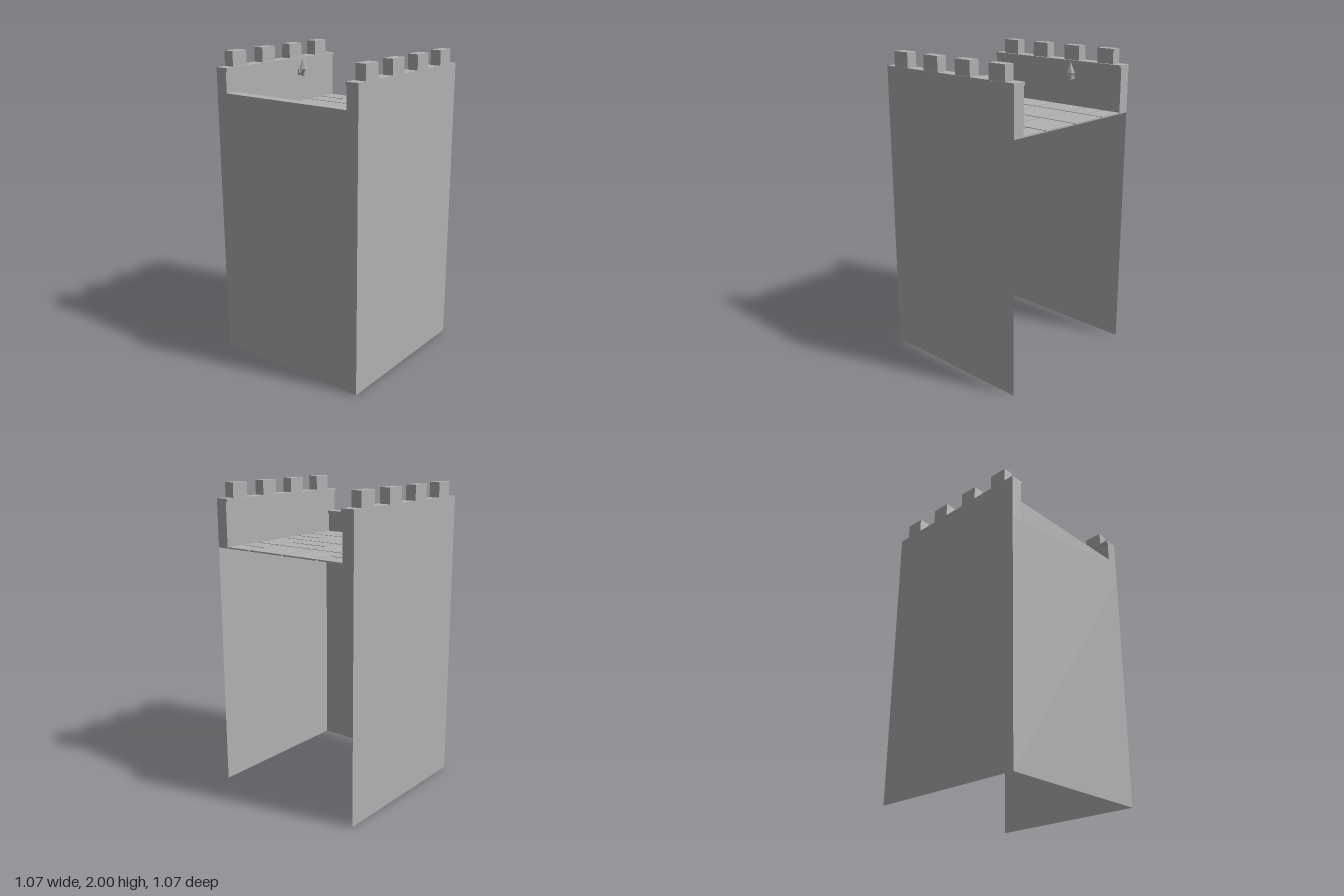
import * as THREE from 'three';

export function createModel() {
  const model = new THREE.Group();
  model.name = 'castleTower';

  const stone = new THREE.MeshStandardMaterial({ color: 0xb2b2b2, side: THREE.DoubleSide, flatShading: true });
  stone.name = 'stone grey';

  const HALF = 0.537;    // half width of the tower
  const FLOOR = 1.6;     // height of the roof floor
  const SIDE_TOP = 1.905, FRONT_TOP = 1.75, LIP = 0.02;

  function add(parent, name, geometry) {
    const mesh = new THREE.Mesh(geometry, stone);
    mesh.name = name;
    parent.add(mesh);
    return mesh;
  }

  // Box given by its limits on each axis
  function block(parent, name, x0, x1, y0, y1, z0, z1) {
    const mesh = add(parent, name, new THREE.BoxGeometry(x1 - x0, y1 - y0, z1 - z0));
    mesh.position.set((x0 + x1) / 2, (y0 + y1) / 2, (z0 + z1) / 2);
    return mesh;
  }

  // Thin tower walls, open at the back and bottom
  const wall = (name, x, z, turn) => {
    const mesh = add(model, name, new THREE.PlaneGeometry(HALF * 2, FLOOR));
    mesh.position.set(x, FLOOR / 2, z);
    mesh.rotation.y = turn;
  };
  wall('frontWall', 0, HALF, 0);
  wall('leftWall', HALF, 0, Math.PI / 2);
  wall('rightWall', -HALF, 0, -Math.PI / 2);

  // Roof floor
  const floor = add(model, 'roofFloor', new THREE.PlaneGeometry(HALF * 2, HALF * 2));
  floor.rotation.x = -Math.PI / 2;
  floor.position.y = FLOOR - 0.004;

  // Paving: full slabs in a 4 x 4 grid, some cut in two along x or z
  const paving = new THREE.Group();
  paving.name = 'paving';
  model.add(paving);
  const GAP = 0.013;
  const columns = [[-0.46, -0.277], [-0.265, -0.007], [0.005, 0.263], [0.275, 0.458]];
  const rows = [[-0.535, -0.277], [-0.265, -0.007], [0.005, 0.263], [0.275, 0.468]];
  const cuts = ['z--z', '--z-', '---z', 'z-xx'];
  const halves = ([a, b], size) => [[a, a + size], [a + size + GAP, b]];
  rows.forEach((row, r) => columns.forEach((col, c) => {
    const cut = cuts[r][c];
    const xs = cut === 'x' ? halves(col, 0.122) : [col];
    const zs = cut === 'z' ? halves(row, 0.122) : [row];
    for (const [x0, x1] of xs) {
      for (const [z0, z1] of zs) block(paving, 'slab', x0, x1, FLOOR - 0.004, FLOOR + 0.005, z0, z1);
    }
  }));

  // Front parapet with a lip along its inner top edge
  block(model, 'frontParapet', -0.458, 0.458, FLOOR - 0.004, FRONT_TOP - LIP, 0.47, HALF);
  block(model, 'frontCoping', -0.458, 0.458, FRONT_TOP - LIP, FRONT_TOP, 0.46, HALF);

  // Side parapets, copings and four merlons each
  for (const [side, s] of [['left', 1], ['right', -1]]) {
    const group = new THREE.Group();
    group.name = side + 'Battlement';
    model.add(group);
    const sideBlock = (name, inner, outer, y0, y1, z0, z1) =>
      block(group, name, Math.min(s * inner, s * outer), Math.max(s * inner, s * outer), y0, y1, z0, z1);
    sideBlock('parapet', 0.458, HALF, FLOOR - 0.004, SIDE_TOP - LIP, -HALF, HALF);
    sideBlock('coping', 0.449, HALF, SIDE_TOP - LIP, SIDE_TOP, -HALF, HALF);
    for (let i = 0; i < 4; i++) {
      const z = -0.405 + i * 0.27;
      sideBlock('merlon', 0.465, 0.534, SIDE_TOP, 2, z - 0.061, z + 0.061);
    }
  }

  // Wall torch on the right parapet
  const torch = new THREE.Group();
  torch.name = 'torch';
  torch.position.set(-0.422, 0, -0.162);
  model.add(torch);
  block(torch, 'bracketPlate', -0.038, -0.03, 1.785, 1.83, -0.012, 0.012);
  block(torch, 'bracketArm', -0.036, 0.01, 1.785, 1.803, -0.008, 0.008);
  add(torch, 'holder', new THREE.CylinderGeometry(0.02, 0.011, 0.035, 6)).position.y = 1.799;
  const flame = [[0, 1.81], [0.026, 1.826], [0.015, 1.86], [0, 1.903]].map(([r, y]) => new THREE.Vector2(r, y));
  add(torch, 'flame', new THREE.LatheGeometry(flame, 5));

  return model;
}
